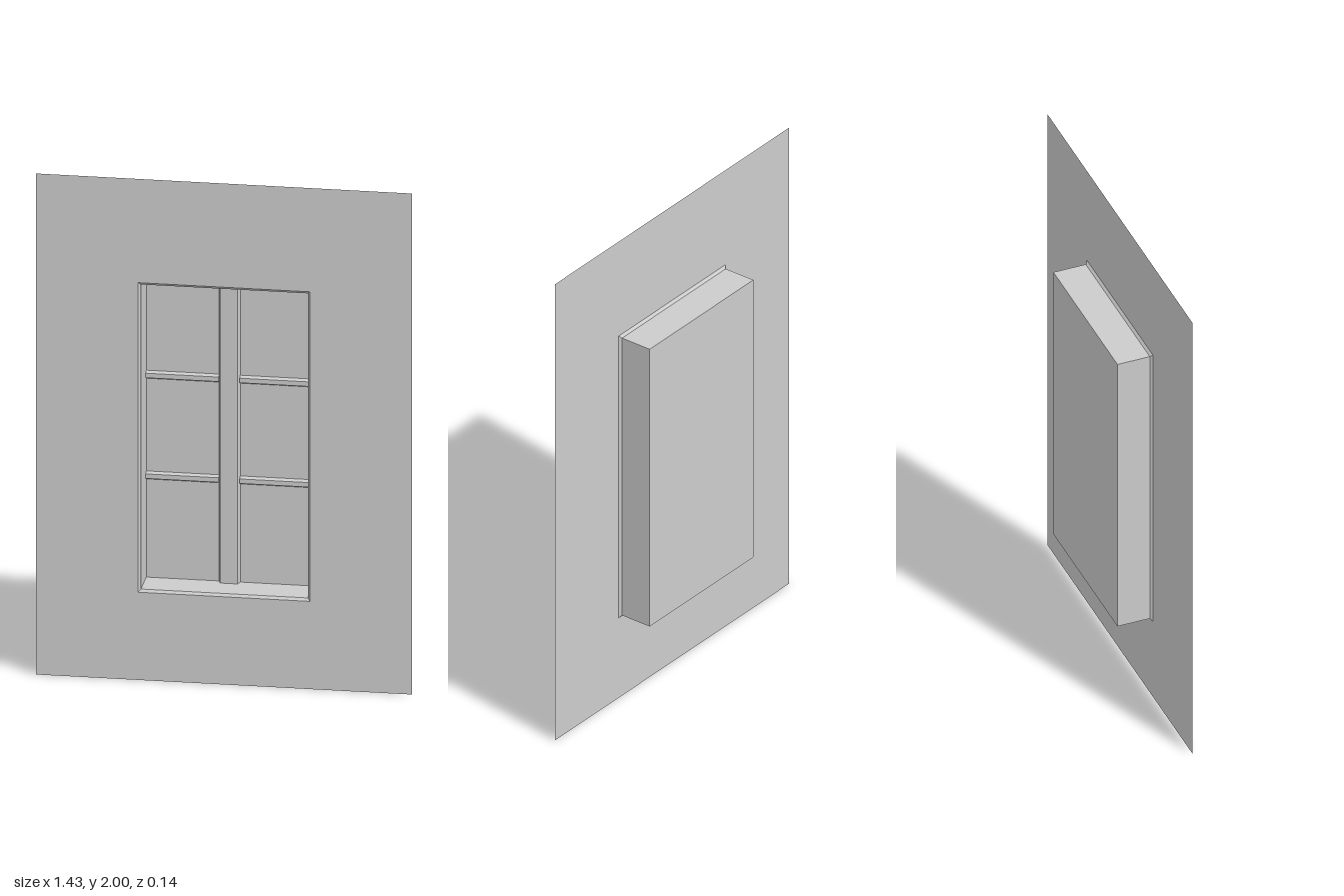
import * as THREE from 'three';

const material = new THREE.MeshStandardMaterial({ color: 0xcccccc, flatShading: true, side: THREE.DoubleSide });

// Loft of centred rectangles [width, height, z], ordered back to front;
// caps are optional so it serves for open surrounds and solid bars alike.
function rectLoft(name, sections, x, y, { back = false, front = false } = {}) {
  const positions = [];
  const index = [];
  for (const [w, h, z] of sections) {
    for (const [sx, sy] of [[-1, -1], [1, -1], [1, 1], [-1, 1]]) {
      positions.push(sx * w / 2, sy * h / 2, z);
    }
  }
  for (let s = 0; s < sections.length - 1; s++) {
    for (let i = 0; i < 4; i++) {
      const a = s * 4 + i, b = s * 4 + (i + 1) % 4;
      index.push(a, b, b + 4, a, b + 4, a + 4);
    }
  }
  const last = (sections.length - 1) * 4;
  if (back) index.push(0, 2, 1, 0, 3, 2);
  if (front) index.push(last, last + 1, last + 2, last, last + 2, last + 3);

  const indexed = new THREE.BufferGeometry();
  indexed.setAttribute('position', new THREE.Float32BufferAttribute(positions, 3));
  indexed.setIndex(index);
  const geometry = indexed.toNonIndexed();
  geometry.computeVertexNormals();
  const mesh = new THREE.Mesh(geometry, material);
  mesh.name = name;
  mesh.position.set(x, y, 0);
  return mesh;
}

function rectPath(path, w, h, y) {
  path.moveTo(-w / 2, y - h / 2);
  path.lineTo(w / 2, y - h / 2);
  path.lineTo(w / 2, y + h / 2);
  path.lineTo(-w / 2, y + h / 2);
  path.closePath();
  return path;
}

export function createModel() {
  const group = new THREE.Group();
  group.name = 'recessedWindow';

  const wallZ = 0.07, backZ = -0.07, midY = 0.968;
  const openW = 0.65, openH = 1.236;
  const innerW = 0.632, innerH = 1.216;

  // Thin wall sheet with the window opening
  const wallShape = rectPath(new THREE.Shape(), 1.426, 2, 1);
  wallShape.holes.push(rectPath(new THREE.Path(), openW, openH, midY));
  const wall = new THREE.Mesh(new THREE.ShapeGeometry(wallShape), material);
  wall.name = 'wall';
  wall.position.z = wallZ;
  group.add(wall);

  // Recess: back pane, straight reveal and bevelled lip
  group.add(rectLoft('recess', [
    [innerW, innerH, backZ],
    [innerW, innerH, 0.061],
    [openW, openH, wallZ],
  ], 0, midY, { back: true }));

  // Central mullion with bevelled sides
  const mullionW = 0.08;
  group.add(rectLoft('mullion', [
    [mullionW, innerH, backZ],
    [0.066, innerH, backZ + 0.022],
  ], 0, midY, { front: true }));

  // Glazing bars, two on each side of the mullion
  const barW = (innerW - mullionW) / 2;
  for (const side of [-1, 1]) {
    for (const y of [0.768, 1.17]) {
      group.add(rectLoft(side > 0 ? 'leftGlazingBar' : 'rightGlazingBar', [
        [barW, 0.032, backZ],
        [barW, 0.018, backZ + 0.014],
      ], side * (mullionW + barW) / 2, y, { front: true }));
    }
  }

  return group;
}
